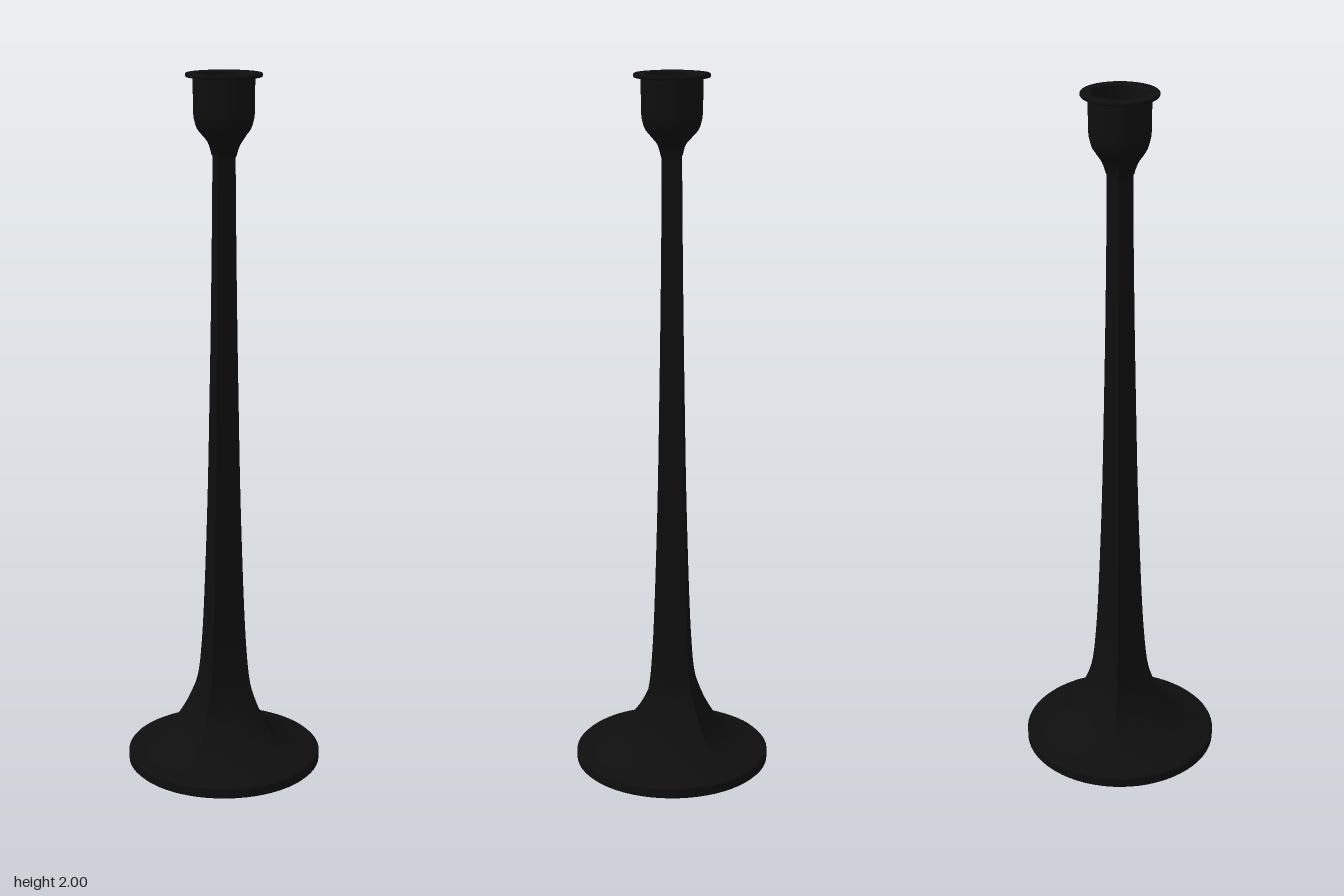
import * as THREE from 'three';
import { toCreasedNormals } from 'three/addons/utils/BufferGeometryUtils.js';

const SEGMENTS = 64;
const toVectors = (pairs) => pairs.map(([r, y]) => new THREE.Vector2(r, y));

// How square the cross-section is at a height: round foot, square stem, round cup
function squareness(y) {
  return THREE.MathUtils.smoothstep(y, 0.02, 0.24) * (1 - THREE.MathUtils.smoothstep(y, 1.78, 1.86));
}

// Push the round section out towards a square with corners on the diagonals
function squareUp(geometry) {
  const p = geometry.attributes.position;
  for (let i = 0; i < p.count; i++) {
    const x = p.getX(i), z = p.getZ(i);
    const side = Math.max(Math.abs(x), Math.abs(z));
    if (side < 1e-6) continue;
    const s = THREE.MathUtils.lerp(1, Math.hypot(x, z) / side, squareness(p.getY(i)));
    p.setX(i, x * s);
    p.setZ(i, z * s);
  }
  return geometry;
}

function turned(name, points, material) {
  const geometry = squareUp(new THREE.LatheGeometry(points, SEGMENTS));
  const mesh = new THREE.Mesh(toCreasedNormals(geometry, Math.PI / 6), material);
  mesh.name = name;
  return mesh;
}

export function createModel() {
  const group = new THREE.Group();
  group.name = 'candlestick';
  const black = new THREE.MeshStandardMaterial({ color: 0x0e0e0e });
  black.name = 'black';

  // Flat round foot
  const foot = toVectors([[0, 0], [0.275, 0], [0.28, 0.005], [0.28, 0.03], [0.275, 0.035]]);

  // Flared base rising into a slim tapering stem, opening out below the cup
  const stemCurve = new THREE.SplineCurve(toVectors([
    [0.275, 0.035], [0.24, 0.044], [0.2, 0.06], [0.165, 0.081], [0.135, 0.106], [0.1, 0.15],
    [0.074, 0.2], [0.06, 0.25], [0.052, 0.34], [0.045, 0.5], [0.037, 0.8], [0.032, 1.1],
    [0.028, 1.4], [0.025, 1.74], [0.027, 1.78], [0.038, 1.81], [0.058, 1.833],
    [0.074, 1.853], [0.082, 1.88],
  ]));

  // Candle cup: outer wall, thin flat rim and hollow inside
  const cup = toVectors([
    [0.082, 1.88], [0.084, 1.9], [0.084, 1.99], [0.103, 1.99], [0.105, 1.993], [0.105, 1.998],
    [0.103, 2], [0.078, 2], [0.074, 1.996], [0.073, 1.9], [0.068, 1.88], [0.055, 1.87], [0, 1.868],
  ]);

  group.add(
    turned('foot', foot, black),
    turned('stem', stemCurve.getPoints(90), black),
    turned('candleCup', cup, black),
  );
  return group;
}
